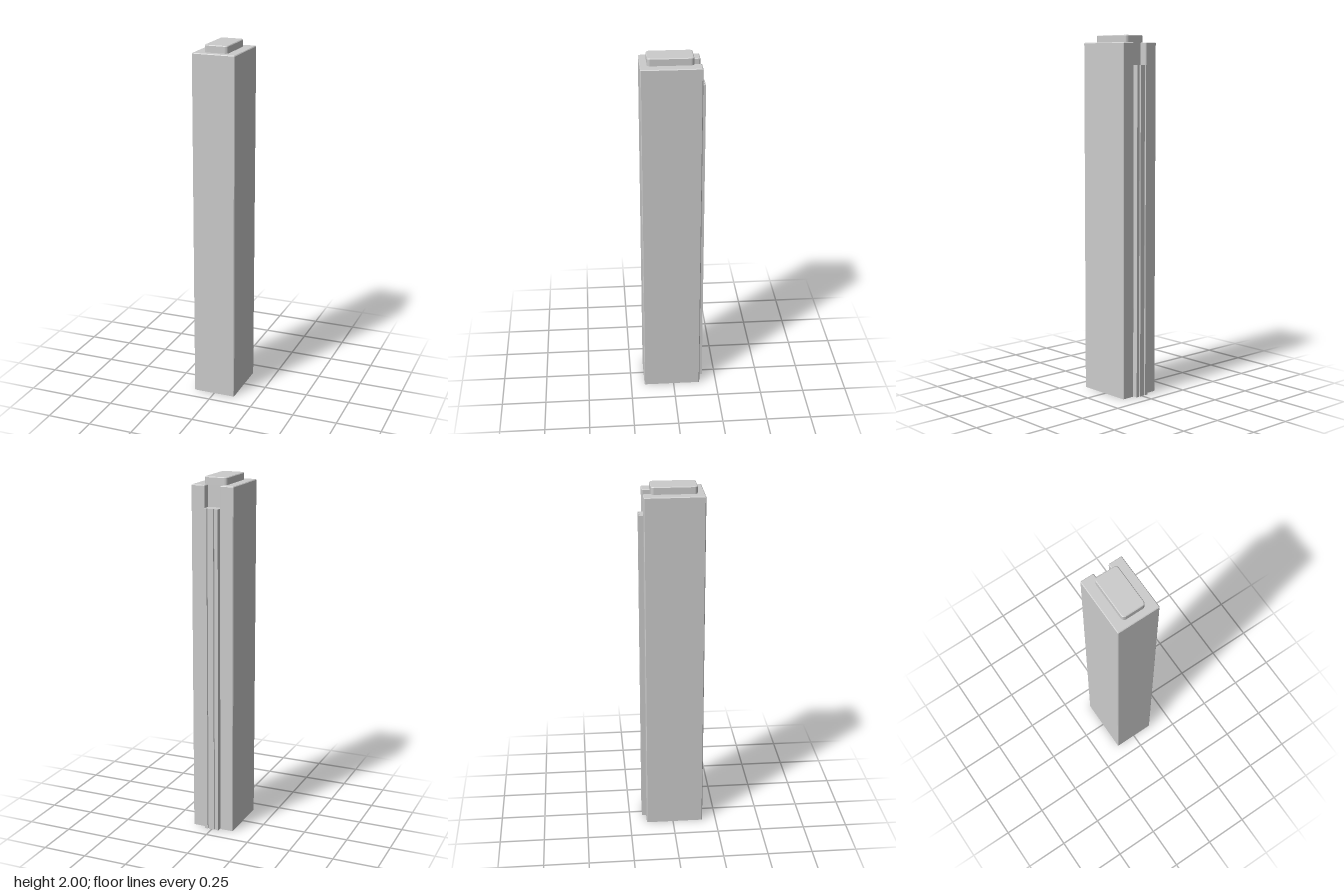
import * as THREE from 'three';

// Moves a counter-clockwise outline inward by d, with mitred corners.
function inset(points, d) {
  const n = points.length;
  return points.map((p, i) => {
    const a = p.clone().sub(points[(i + n - 1) % n]).normalize();
    const b = points[(i + 1) % n].clone().sub(p).normalize();
    const k = d / (1 + a.dot(b));
    return new THREE.Vector2(p.x - (a.y + b.y) * k, p.y + (a.x + b.x) * k);
  });
}

// Upright prism: outline in (x, -z), levels are [height, inset] from bottom to top.
function prism(name, points, levels) {
  const rings = levels.map(([y, d]) =>
    inset(points, d).map((p) => new THREE.Vector3(p.x, y, -p.y)));
  const n = points.length;
  const verts = [];
  const tri = (...corners) => corners.forEach((c) => verts.push(c.x, c.y, c.z));
  for (let r = 0; r < rings.length - 1; r++) {
    for (let i = 0; i < n; i++) {
      const j = (i + 1) % n, lo = rings[r], hi = rings[r + 1];
      tri(lo[i], lo[j], hi[j]);
      tri(lo[i], hi[j], hi[i]);
    }
  }
  const top = rings[rings.length - 1], bottom = rings[0];
  for (const [a, b, c] of THREE.ShapeUtils.triangulateShape(points, [])) {
    tri(top[a], top[b], top[c]);
    tri(bottom[a], bottom[c], bottom[b]);
  }
  const geometry = new THREE.BufferGeometry();
  geometry.setAttribute('position', new THREE.Float32BufferAttribute(verts, 3));
  geometry.computeVertexNormals();
  const mesh = new THREE.Mesh(geometry,
    new THREE.MeshStandardMaterial({ color: 0xcccccc, flatShading: true }));
  mesh.name = name;
  return mesh;
}

const outline = (pairs) => pairs.map(([x, z]) => new THREE.Vector2(x, -z));

export function createModel() {
  const group = new THREE.Group();
  group.name = 'tower';

  // Tall body with chamfered edges and a full-height slot in the back
  const w = 0.121, front = 0.172, back = -0.153, slotW = 0.043, slotZ = -0.112, c = 0.004;
  const half = [
    [w - c, front], [w, front - c], [w, back + c], [w - c, back],
    [slotW + c, back], [slotW, back + c], [slotW, slotZ],
  ];
  const mirrored = half.map(([x, z]) => [-x, z]).reverse();
  group.add(prism('body', outline([...half, ...mirrored]), [[0, 0], [1.956, 0], [1.96, c]]));

  // Rail standing in the slot, with two narrow grooves along its outer face
  const railBack = -0.176, grooveZ = -0.167;
  const railHalf = [
    [0.041, slotZ], [0.041, railBack],
    [0.024, railBack], [0.024, grooveZ + 0.001 - 0.003], [0.022, grooveZ],
    [0.017, grooveZ], [0.015, grooveZ - 0.002], [0.015, railBack],
  ];
  const railMirror = railHalf.map(([x, z]) => [-x, z]).reverse();
  group.add(prism('rail', outline([...railHalf, ...railMirror]), [[0, 0], [1.84, 0]]));

  // Raised cap with rounded corners and a chamfered top
  const cx = -0.001, cz = 0.011, hx = 0.066, hz = 0.123, r = 0.017;
  const capPoints = [];
  for (const [sx, sy, start] of [[1, 1, 0], [-1, 1, 1], [-1, -1, 2], [1, -1, 3]]) {
    for (let k = 0; k <= 4; k++) {
      const a = (start + k / 4) * Math.PI / 2;
      capPoints.push(new THREE.Vector2(
        cx + sx * (hx - r) + r * Math.cos(a),
        -cz + sy * (hz - r) + r * Math.sin(a)));
    }
  }
  group.add(prism('cap', capPoints, [[1.95, 0], [1.996, 0], [2, 0.004]]));

  return group;
}
